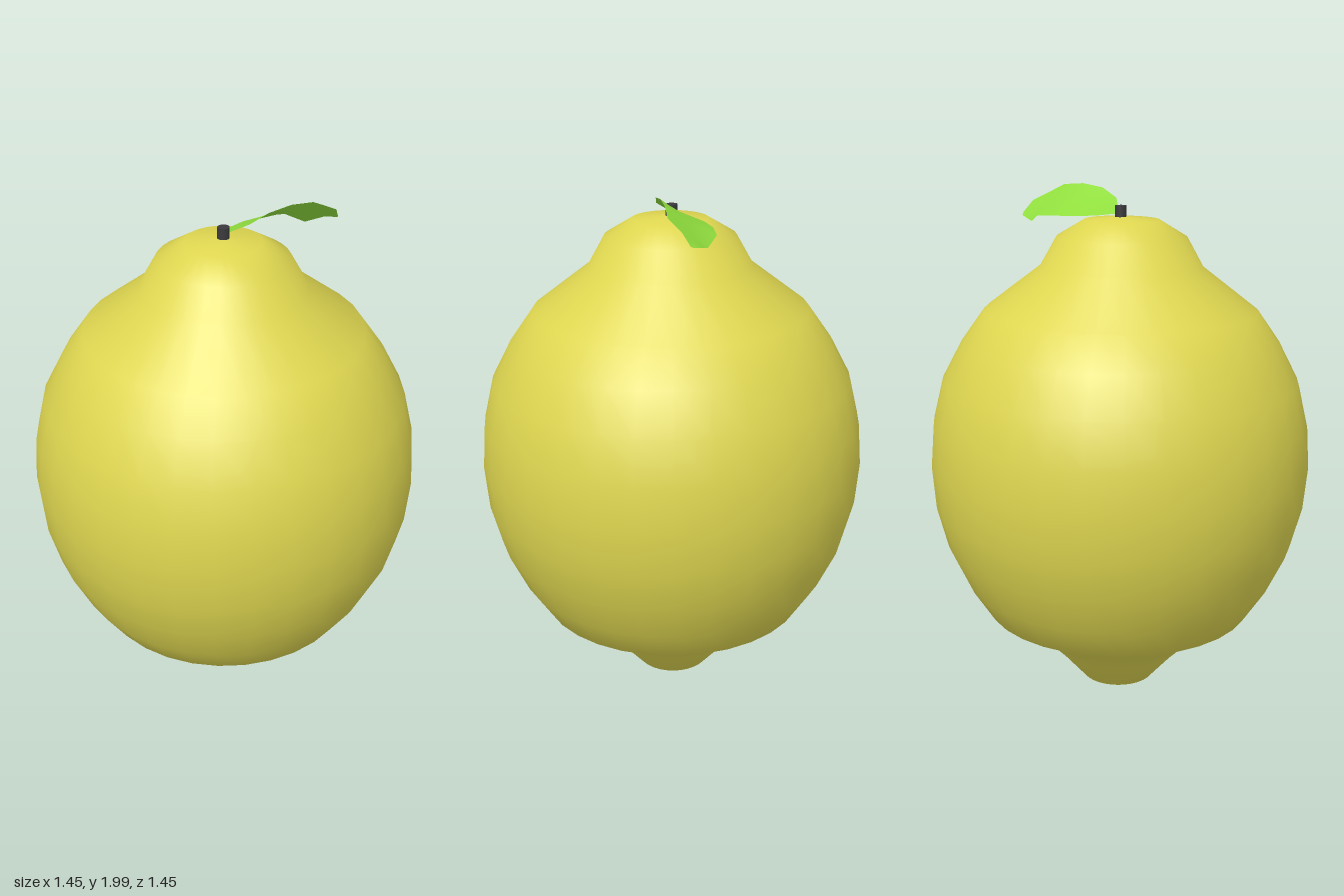
import * as THREE from 'three';

const paint = (color) => new THREE.MeshStandardMaterial({ color, side: THREE.DoubleSide });

function addMesh(parent, name, geometry, color) {
  const mesh = new THREE.Mesh(geometry, paint(color));
  mesh.name = name;
  parent.add(mesh);
  return mesh;
}

// Lemon body: one smooth lathe with a pointed tip below and a blunt neck above
function fruitGeometry() {
  const profile = [
    [0, 0.005], [0.14, 0.06], [0.24, 0.175], [0.332, 0.268], [0.518, 0.368], [0.6, 0.495],
    [0.67, 0.645], [0.712, 0.805], [0.726, 0.97], [0.714, 1.13], [0.675, 1.29], [0.6, 1.432],
    [0.514, 1.553], [0.304, 1.713], [0.242, 1.823], [0.14, 1.884], [0, 1.896],
  ].map(([r, y]) => new THREE.Vector2(r, y - 0.95));
  return new THREE.LatheGeometry(profile, 32);
}

// Leaf blade: cross-sections along x, each running back edge, midrib, front edge
function leafGeometry() {
  // x, back z, back y, rib z, rib y, front z, front y
  const sections = [
    [0.01, -0.012, 1.905, 0, 1.91, 0.012, 1.915],
    [0.06, -0.06, 1.9, 0, 1.925, 0.07, 1.955],
    [0.13, -0.09, 1.896, 0, 1.935, 0.085, 1.988],
    [0.22, -0.1, 1.894, 0, 1.935, 0.087, 2.0],
    [0.31, -0.09, 1.888, 0.005, 1.93, 0.09, 1.993],
    [0.37, -0.045, 1.861, 0.02, 1.915, 0.093, 1.966],
    [0.435, -0.015, 1.878, 0.02, 1.9, 0.058, 1.93],
    [0.46, 0.028, 1.886, 0.032, 1.888, 0.036, 1.89],
  ];
  const positions = [], index = [];
  sections.forEach(([x, zb, yb, zm, ym, zf, yf], i) => {
    positions.push(x, yb, zb, x, ym, zm, x, yf, zf);
    if (i === 0) return;
    for (let j = 0; j < 2; j++) {
      const a = (i - 1) * 3 + j, b = a + 3;
      index.push(a, a + 1, b, a + 1, b + 1, b);
    }
  });
  const geometry = new THREE.BufferGeometry();
  geometry.setAttribute('position', new THREE.Float32BufferAttribute(positions, 3));
  geometry.setIndex(index);
  geometry.computeVertexNormals();
  return geometry;
}

export function createModel() {
  const lemon = new THREE.Group();
  lemon.name = 'lemon';

  // Fruit leans very slightly
  const fruit = addMesh(lemon, 'fruit', fruitGeometry(), 0xded650);
  fruit.position.y = 0.95;
  fruit.rotation.set(0.005, 0, 0.008);

  // Short stem stub
  const stem = addMesh(lemon, 'stem', new THREE.CylinderGeometry(0.022, 0.022, 0.05, 16), 0x3a3a3e);
  stem.position.set(-0.004, 1.91, 0);

  addMesh(lemon, 'leaf', leafGeometry(), 0x90de3e);
  return lemon;
}
